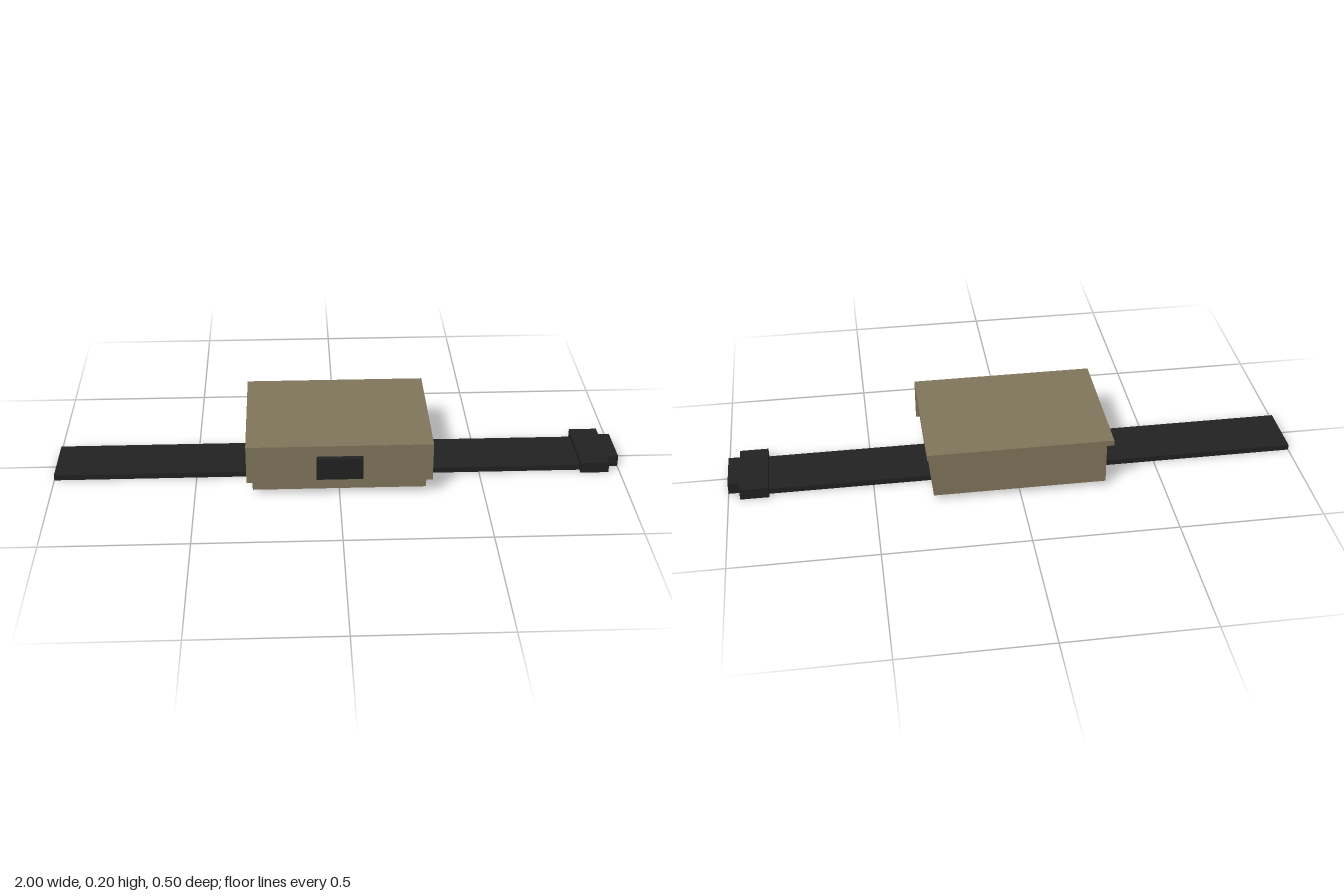
import * as THREE from 'three';

export function createModel() {
  const model = new THREE.Group();
  model.name = 'beltPouch';

  const canvas = new THREE.MeshStandardMaterial({ color: 0x82765c });
  canvas.name = 'tanCanvas';
  const black = new THREE.MeshStandardMaterial({ color: 0x222222 });
  black.name = 'blackWebbing';

  // Adds a box given its extents along each axis
  function addBox(name, material, [x0, x1], [y0, y1], [z0, z1]) {
    const geometry = new THREE.BoxGeometry(x1 - x0, y1 - y0, z1 - z0);
    const mesh = new THREE.Mesh(geometry, material);
    mesh.name = name;
    mesh.position.set((x0 + x1) / 2, (y0 + y1) / 2, (z0 + z1) / 2);
    model.add(mesh);
  }

  // Pouch: body, overhanging lid and the flap folded down in front
  addBox('pouchBody', canvas, [-0.3, 0.3], [0.02, 0.18], [-0.23, 0.21]);
  addBox('lid', canvas, [-0.32, 0.32], [0.18, 0.2], [-0.25, 0.23]);
  addBox('frontFlap', canvas, [-0.32, 0.32], [0.06, 0.18], [0.21, 0.23]);
  addBox('clasp', black, [-0.08, 0.08], [0.08, 0.16], [0.23, 0.25]);

  // Belt running under the pouch, with a buckle at its left end
  addBox('belt', black, [-1, 0.86], [0, 0.02], [-0.11, 0.09]);
  addBox('buckle', black, [0.86, 0.96], [0, 0.04], [-0.13, 0.11]);
  addBox('bucklePlug', black, [0.96, 1], [0, 0.04], [-0.09, 0.07]);

  return model;
}
